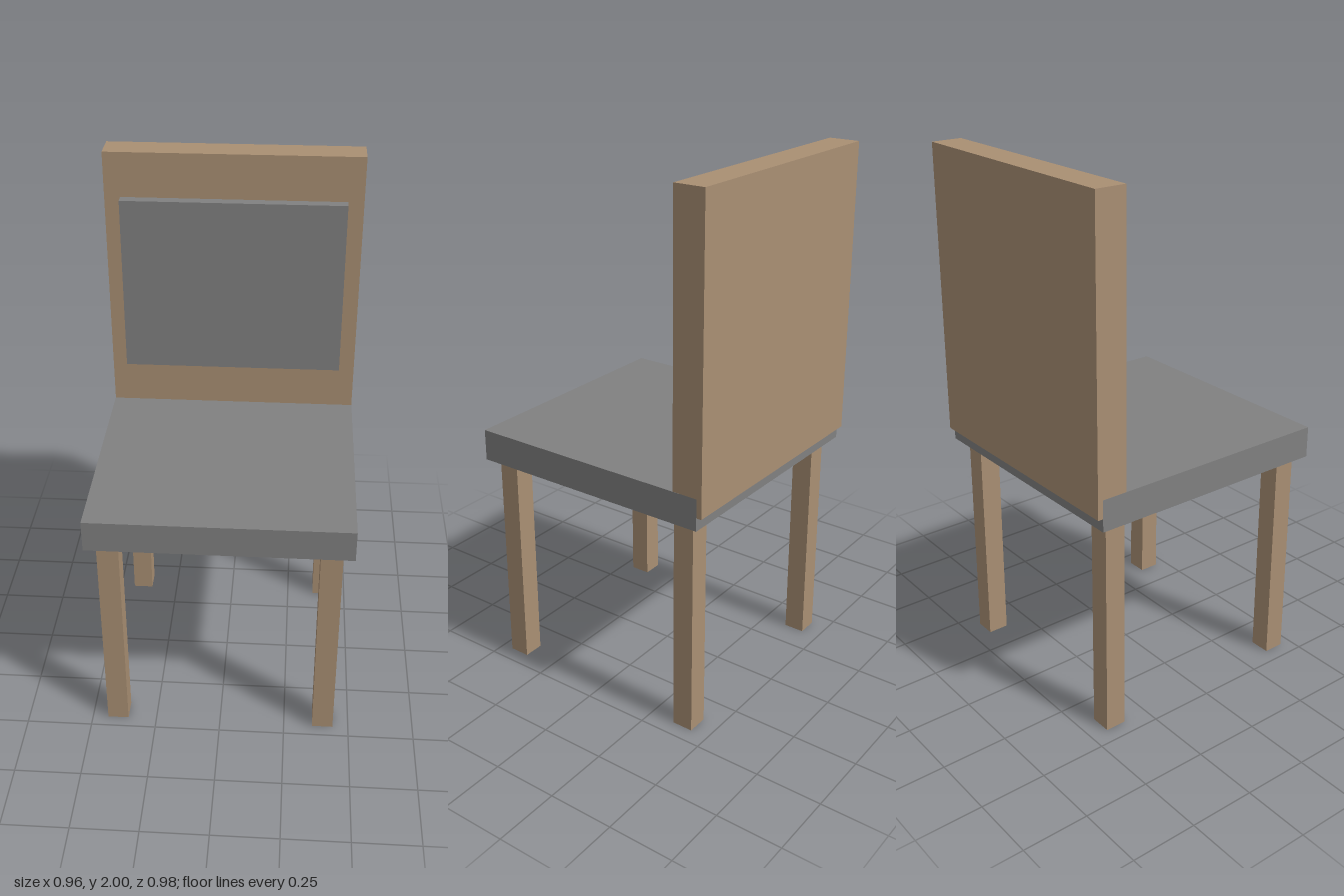
import * as THREE from 'three';

export function createModel() {
  const chair = new THREE.Group();
  chair.name = 'chair';

  const wood = new THREE.MeshStandardMaterial({ color: 0xa98f73 });
  const fabric = new THREE.MeshStandardMaterial({ color: 0x808080 });

  // Box given by its extents along each axis
  function addBox(name, material, [x0, x1], [y0, y1], [z0, z1]) {
    const mesh = new THREE.Mesh(new THREE.BoxGeometry(x1 - x0, y1 - y0, z1 - z0), material);
    mesh.name = name;
    mesh.position.set((x0 + x1) / 2, (y0 + y1) / 2, (z0 + z1) / 2);
    chair.add(mesh);
  }

  // Seat slab
  addBox('seat', fabric, [-0.48, 0.48], [0.85, 0.97], [-0.47, 0.49]);

  // Backrest, a hair narrower so its sides do not flicker against the seat
  addBox('backrest', wood, [-0.4795, 0.4795], [0.9, 2], [-0.49, -0.373]);

  // Padded panel on the front of the backrest
  addBox('backCushion', fabric, [-0.42, 0.42], [1.15, 1.83], [-0.373, -0.333]);

  // Four square legs
  const legWidth = 0.08;
  for (const [side, x] of [['Left', 0.4], ['Right', -0.4]]) {
    for (const [end, z] of [['front', 0.415], ['back', -0.39]]) {
      addBox(`${end}${side}Leg`, wood,
        [x - legWidth / 2, x + legWidth / 2], [0, 0.85], [z - legWidth / 2, z + legWidth / 2]);
    }
  }

  return chair;
}
